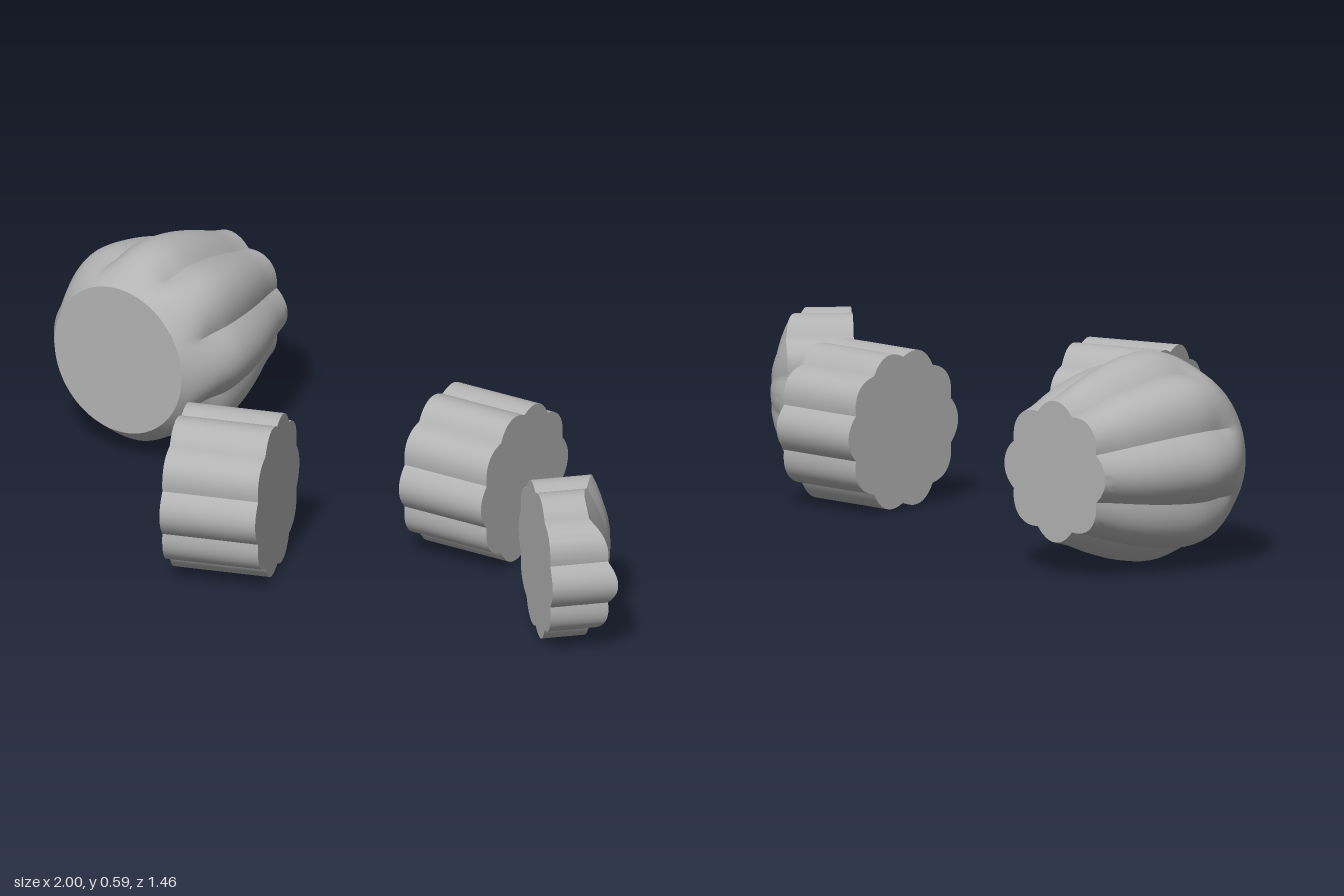
import * as THREE from 'three';
import { toCreasedNormals } from 'three/addons/utils/BufferGeometryUtils.js';

// Skin a closed solid over rings along local z; the first and last rings are centre points
function loft(rings, segments, point) {
  const pos = [], index = [];
  rings.forEach((ring) => {
    for (let j = 0; j < segments; j++) pos.push(...point(ring, (j / segments) * Math.PI * 2));
  });
  for (let i = 0; i < rings.length - 1; i++) {
    for (let j = 0; j < segments; j++) {
      const k = (j + 1) % segments;
      const a = i * segments + j, b = i * segments + k;
      const c = a + segments, d = b + segments;
      if (i < rings.length - 2) index.push(a, d, c);
      if (i > 0) index.push(a, b, d);
    }
  }
  const geo = new THREE.BufferGeometry();
  geo.setAttribute('position', new THREE.Float32BufferAttribute(pos, 3));
  geo.setIndex(index);
  return toCreasedNormals(geo, 0.5);
}

// Rounded lobes meeting in narrow grooves
const flute = (angle, lobes, depth) => 1 - depth * (1 - Math.abs(Math.cos(angle * lobes / 2)));

// Fluted slice; top(x, y, rho) gives the height of its +z face
function sliceGeometry(radius, bottom, top) {
  const rings = [{ rho: 0, low: true }, { rho: 1, low: true }];
  for (let i = 8; i >= 0; i--) rings.push({ rho: i / 8, low: false });
  return loft(rings, 120, ({ rho, low }, a) => {
    const r = radius * rho * flute(a, 10, 0.09);
    const x = r * Math.cos(a), y = r * Math.sin(a);
    return [x, y, low ? bottom : top(x, y, rho)];
  });
}

export function createModel() {
  const group = new THREE.Group();
  const grey = new THREE.MeshStandardMaterial({ color: 0xb3b3b3 });
  grey.name = 'plain grey';

  // Place a piece so that its local z axis points along (dx, dz)
  const add = (name, geo, x, y, z, dx, dz) => {
    const mesh = new THREE.Mesh(geo, grey);
    mesh.name = name;
    mesh.position.set(x, y, z);
    mesh.rotation.y = Math.atan2(dx, dz);
    group.add(mesh);
  };

  // Bulging body: round cut at one end, fluted cut at the other
  const profile = new THREE.CatmullRomCurve3([
    [0, 0.217], [0.05, 0.255], [0.1, 0.28], [0.18, 0.295],
    [0.29, 0.28], [0.39, 0.25], [0.48, 0.215], [0.53, 0.2],
  ].map(([t, r]) => new THREE.Vector3(t, r, 0))).getPoints(28);
  const bodyRings = [
    { t: 0, r: 0 },
    ...profile.map((p) => ({ t: p.x, r: p.y })),
    { t: 0.53, r: 0 },
  ];
  const body = loft(bodyRings, 128, ({ t, r }, a) => {
    const depth = 0.12 * THREE.MathUtils.smoothstep(t, 0, 0.13);
    const f = r * flute(a, 8, depth);
    return [f * Math.cos(a), f * Math.sin(a), t];
  });
  add('flutedBody', body, -0.76, 0.295, -0.17, 0.145, -0.51);

  // Two flat slices
  add('middleSlice', sliceGeometry(0.23, -0.138, () => 0.138), -0.228, 0.225, 0.4, 0.275, -0.02);
  add('leftSlice', sliceGeometry(0.226, -0.135, () => 0.135), 0.394, 0.222, 0.044, 0.265, 0.06);

  // End slice with a wavy domed face
  const wavy = (x, y, rho) =>
    0.145 + 0.04 * (x / 0.22) ** 2 + 0.06 * (1 - rho * rho) + 0.03 * Math.sin(Math.PI * x / 0.22);
  add('wavyEndSlice', sliceGeometry(0.222, 0, wavy), 0.725, 0.218, 0.54, 0.85, -0.53);

  return group;
}
